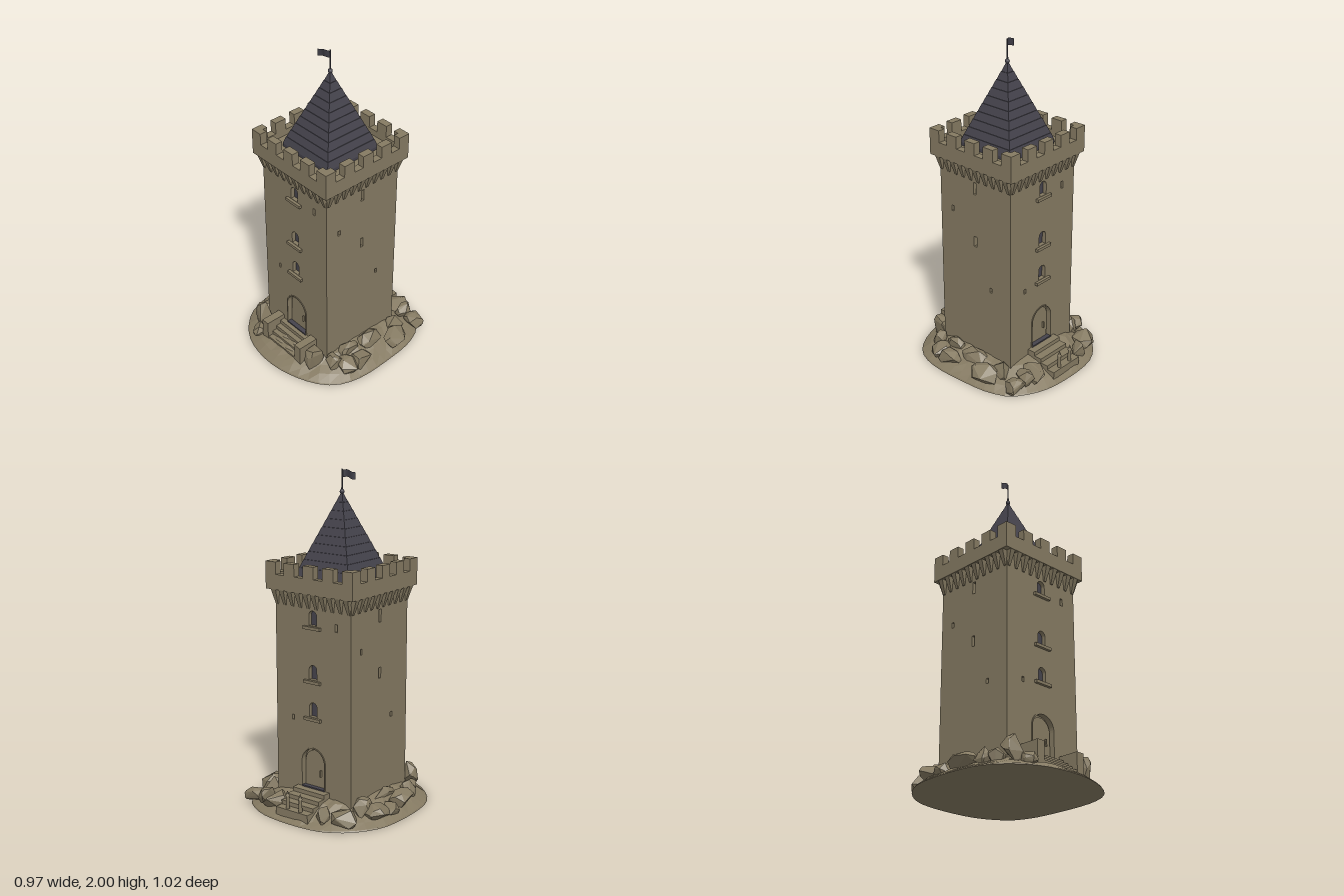
import * as THREE from 'three';
import { ConvexGeometry } from 'three/addons/geometries/ConvexGeometry.js';

const stone = new THREE.MeshStandardMaterial({ color: 0x857a62 });
stone.name = 'stone';
const slate = new THREE.MeshStandardMaterial({ color: 0x45434c });
slate.name = 'slate';
const cloth = new THREE.MeshStandardMaterial({ color: 0x3c3b44, side: THREE.DoubleSide });
cloth.name = 'banner cloth';

let seed = 7;
const rand = () => (seed = (seed * 16807) % 2147483647) / 2147483647;

function add(parent, name, geometry, material, x = 0, y = 0, z = 0) {
  const mesh = new THREE.Mesh(geometry, material);
  mesh.name = name;
  mesh.position.set(x, y, z);
  parent.add(mesh);
  return mesh;
}
const box = (parent, name, w, h, d, x, y, z, material = stone) =>
  add(parent, name, new THREE.BoxGeometry(w, h, d), material, x, y, z);

function flat(geometry) {
  const g = geometry.toNonIndexed();
  g.computeVertexNormals();
  return g;
}

// Round-headed opening: centre x, bottom y, width, total height
function arch(x, y, w, h, Type = THREE.Shape) {
  const r = w / 2, s = new Type();
  s.moveTo(x - r, y);
  s.lineTo(x + r, y);
  s.lineTo(x + r, y + h - r);
  s.absarc(x, y + h - r, r, 0, Math.PI, false);
  s.lineTo(x - r, y);
  return s;
}
function rect(x0, y0, x1, y1, Type = THREE.Shape) {
  const s = new Type();
  s.moveTo(x0, y0);
  s.lineTo(x1, y0);
  s.lineTo(x1, y1);
  s.lineTo(x0, y1);
  s.closePath();
  return s;
}
const extrude = (shape, depth) =>
  new THREE.ExtrudeGeometry(shape, { depth, bevelEnabled: false, curveSegments: 10 });

const WINDOWS = [0.585, 0.81, 1.13];
const DOOR = [0, 0.15, 0.165, 0.24];

// One tower face, built facing +z and then turned; slits are [x, y, width, height]
function wall(tower, name, yaw, halfWidth, hasDoor, slits) {
  const side = new THREE.Group();
  side.name = name;
  side.rotation.y = yaw;
  tower.add(side);
  const shape = rect(-halfWidth, 0, halfWidth, 1.33);
  for (const [x, y, w, h] of slits)
    shape.holes.push(rect(x - w / 2, y - h / 2, x + w / 2, y + h / 2, THREE.Path));
  if (hasDoor) {
    shape.holes.push(arch(...DOOR, THREE.Path));
    for (const y of WINDOWS) {
      shape.holes.push(arch(0, y, 0.056, 0.088, THREE.Path));
      add(side, 'windowPane', extrude(arch(0, y, 0.056, 0.088), 0.004), slate, 0, 0, 0.246);
      box(side, 'windowSill', 0.12, 0.018, 0.025, 0, y - 0.012, 0.28);
    }
    // Door leaf, surround, handle and threshold
    add(side, 'doorLeaf', extrude(arch(0, 0.15, 0.15, 0.228), 0.008), stone, 0, 0, 0.245);
    const surround = arch(0, 0.15, 0.178, 0.247);
    surround.holes.push(arch(...DOOR, THREE.Path));
    add(side, 'doorSurround', extrude(surround, 0.008), stone, 0, 0, 0.272);
    box(side, 'doorHandle', 0.008, 0.04, 0.012, 0.04, 0.24, 0.258);
    box(side, 'threshold', 0.17, 0.008, 0.04, 0, 0.149, 0.262, slate);
  }
  add(side, 'wallPanel', extrude(shape, 0.03), stone, 0, 0, 0.245);

  // Tapered corbels beneath the parapet
  const corbel = new THREE.BoxGeometry(0.036, 0.095, 0.042);
  const p = corbel.attributes.position;
  for (let i = 0; i < p.count; i++) {
    if (p.getY(i) < 0) p.setXYZ(i, p.getX(i) * 0.45, p.getY(i), p.getZ(i) > 0 ? -0.012 : -0.021);
  }
  const corbelGeometry = flat(corbel);
  for (let i = 0; i < 10; i++)
    add(side, 'corbel', corbelGeometry, stone, -0.261 + i * 0.058, 1.275, 0.293);

  // Merlons, with each corner belonging to one face only
  for (const x of [-0.2775, -0.14, 0, 0.14])
    box(side, 'merlon', 0.075, 0.075, 0.045, x, 1.4425, 0.2925);
  box(side, 'cornerReturn', 0.03, 0.075, 0.045, 0.255, 1.4425, 0.2925);
}

function buildTower(root) {
  const tower = new THREE.Group();
  tower.name = 'tower';
  root.add(tower);
  box(tower, 'core', 0.49, 1.33, 0.49, 0, 0.665, 0);
  const slits = [[0, 1.18, 0.022, 0.075], [0, 0.84, 0.022, 0.065],
    [-0.18, 1.0, 0.018, 0.035], [0.12, 0.56, 0.018, 0.03]];
  const smallSlits = [[0.17, 1.14, 0.018, 0.045], [-0.15, 0.56, 0.016, 0.03]];
  wall(tower, 'frontWall', 0, 0.275, true, smallSlits);
  wall(tower, 'backWall', Math.PI, 0.275, true, smallSlits);
  wall(tower, 'leftWall', Math.PI / 2, 0.245, false, slits);
  wall(tower, 'rightWall', -Math.PI / 2, 0.245, false, slits);

  // Parapet ring and roof walk
  const ring = rect(-0.315, -0.315, 0.315, 0.315);
  ring.holes.push(rect(-0.27, -0.27, 0.27, 0.27, THREE.Path));
  add(tower, 'parapet', extrude(ring, 0.09), stone, 0, 1.318, 0).rotation.x = -Math.PI / 2;
  box(tower, 'roofWalk', 0.545, 0.05, 0.545, 0, 1.345, 0);

  // Pyramid roof in shallow slate courses
  const profile = [new THREE.Vector2(0.19, 1.36)];
  for (let i = 0; i < 10; i++) {
    const a = 0.19 * (1 - i / 10) + 0.005, b = 0.19 * (0.9 - i / 10) + 0.007;
    profile.push(new THREE.Vector2(a, 1.39 + i * 0.047), new THREE.Vector2(b, 1.389 + (i + 1) * 0.047));
  }
  profile.push(new THREE.Vector2(0, 1.865));
  profile.forEach(v => { v.x = Math.min(v.x, 0.192) * Math.SQRT2; });
  add(tower, 'roof', flat(new THREE.LatheGeometry(profile, 4, Math.PI / 4)), slate);

  // Finial, pole and waving banner
  add(tower, 'finial', new THREE.SphereGeometry(0.014, 12, 8), slate, 0, 1.872, 0);
  add(tower, 'flagPole', new THREE.CylinderGeometry(0.004, 0.005, 0.14, 8), slate, 0, 1.93, 0);
  const flag = new THREE.PlaneGeometry(0.08, 0.042, 8, 1);
  const p = flag.attributes.position;
  for (let i = 0; i < p.count; i++) {
    const t = (p.getX(i) + 0.04) / 0.08;
    p.setXYZ(i, -0.08 * t, p.getY(i) + 0.006 * Math.sin(t * 5) - 0.004 * t,
      0.025 * t + 0.008 * Math.sin(t * 6));
  }
  flag.computeVertexNormals();
  add(tower, 'flag', flag, cloth, 0, 1.972, 0);
}

// Sloping ground: the outline shrinks as it rises towards the tower
function buildMound(root) {
  const outline = [[-0.15, -0.505], [0.15, -0.505], [0.28, -0.465], [0.4, -0.38], [0.455, -0.25],
    [0.473, -0.1], [0.473, 0.18], [0.42, 0.33], [0.3, 0.43], [0.06, 0.503], [-0.16, 0.49],
    [-0.3, 0.43], [-0.42, 0.31], [-0.473, 0.17], [-0.473, -0.2], [-0.4, -0.35], [-0.28, -0.46]];
  const curve = new THREE.CatmullRomCurve3(
    outline.map(([x, z]) => new THREE.Vector3(x, 0, z)), true, 'centripetal');
  const n = 48, edge = curve.getSpacedPoints(n).slice(0, n);
  const rings = [[0, 0], [1, 0], [0.99, 0.008], [0.9, 0.035], [0.8, 0.06], [0.68, 0.1], [0.5, 0.12], [0, 0.12]];
  const vertices = [], faces = [];
  rings.forEach(([s, y], j) => edge.forEach((e, i) => {
    const bump = j > 2 && j < 6 ? (rand() - 0.5) * 0.015 : 0;
    vertices.push(e.x * s, y + bump, e.z * s);
    if (j === 0) return;
    const k = (i + 1) % n, a = (j - 1) * n + i, b = (j - 1) * n + k, c = j * n + i, d = j * n + k;
    faces.push(a, c, b, b, c, d);
  }));
  const g = new THREE.BufferGeometry();
  g.setAttribute('position', new THREE.Float32BufferAttribute(vertices, 3));
  g.setIndex(faces);
  add(root, 'mound', flat(g), stone);
}

// Angular boulders: x, z, half-size x, half-size z, top height
function buildRocks(root) {
  const rocks = [[0.36, -0.39, 0.06, 0.065, 0.1], [0.4, -0.18, 0.065, 0.09, 0.13],
    [0.32, -0.25, 0.05, 0.06, 0.14], [0.32, -0.03, 0.05, 0.1, 0.14], [0.4, 0.11, 0.055, 0.075, 0.11],
    [0.38, 0.2, 0.075, 0.06, 0.11], [0.32, 0.26, 0.05, 0.05, 0.14], [0.23, 0.34, 0.05, 0.06, 0.2],
    [0.31, 0.13, 0.05, 0.07, 0.15], [-0.4, -0.18, 0.07, 0.08, 0.12], [-0.39, -0.07, 0.07, 0.06, 0.1],
    [-0.39, 0.06, 0.07, 0.1, 0.13], [-0.36, 0.18, 0.045, 0.05, 0.14], [-0.31, 0.0, 0.045, 0.1, 0.15],
    [-0.27, 0.31, 0.06, 0.06, 0.2], [-0.22, 0.38, 0.045, 0.06, 0.1], [-0.32, -0.22, 0.05, 0.07, 0.15],
    [-0.18, -0.42, 0.04, 0.045, 0.13], [-0.3, -0.37, 0.08, 0.07, 0.12], [0.19, -0.39, 0.07, 0.09, 0.12],
    [0.27, -0.39, 0.04, 0.06, 0.13], [-0.33, 0.25, 0.05, 0.05, 0.12]];
  for (const [x, z, sx, sz, top] of rocks) {
    const points = [];
    for (let i = 0; i < 18; i++) {
      const u = rand() * 2 - 1, a = (i + rand()) * 2.4, r = Math.sqrt(1 - u * u);
      points.push(new THREE.Vector3(Math.cos(a) * r * sx * 1.1, u * top * 0.52, Math.sin(a) * r * sz * 1.1));
    }
    add(root, 'rock', new ConvexGeometry(points), stone, x, top * 0.52, z);
  }
}

// Steps, each a full block down to the ground
function stairs(root, name, x, width, nearZ, farZ, count, sign) {
  const group = new THREE.Group();
  group.name = name;
  root.add(group);
  const run = (farZ - nearZ) / count;
  for (let i = 0; i < count; i++) {
    const h = 0.145 - i * 0.1 / count, d = run * (i + 1) + 0.03;
    box(group, 'step', width, h, d, x, h / 2, sign * (nearZ - 0.03 + d / 2));
  }
  return group;
}

export function createModel() {
  const root = new THREE.Group();
  root.name = 'stoneTower';
  buildMound(root);
  buildRocks(root);
  buildTower(root);
  const front = stairs(root, 'frontStairs', 0, 0.25, 0.275, 0.405, 4, 1);
  for (const s of [-1, 1]) box(front, 'stairWall', 0.052, 0.175, 0.135, s * 0.152, 0.0875, 0.34);
  const back = stairs(root, 'backStairs', 0, 0.235, 0.275, 0.48, 4, -1);
  // Pointed posts at the foot of the back stairs
  for (const x of [-0.05, 0.045]) {
    add(back, 'post', new THREE.CylinderGeometry(0.01, 0.013, 0.13, 6), stone, x, 0.085, -0.46);
    add(back, 'postTip', new THREE.ConeGeometry(0.014, 0.035, 6), stone, x, 0.163, -0.46);
  }
  return root;
}
